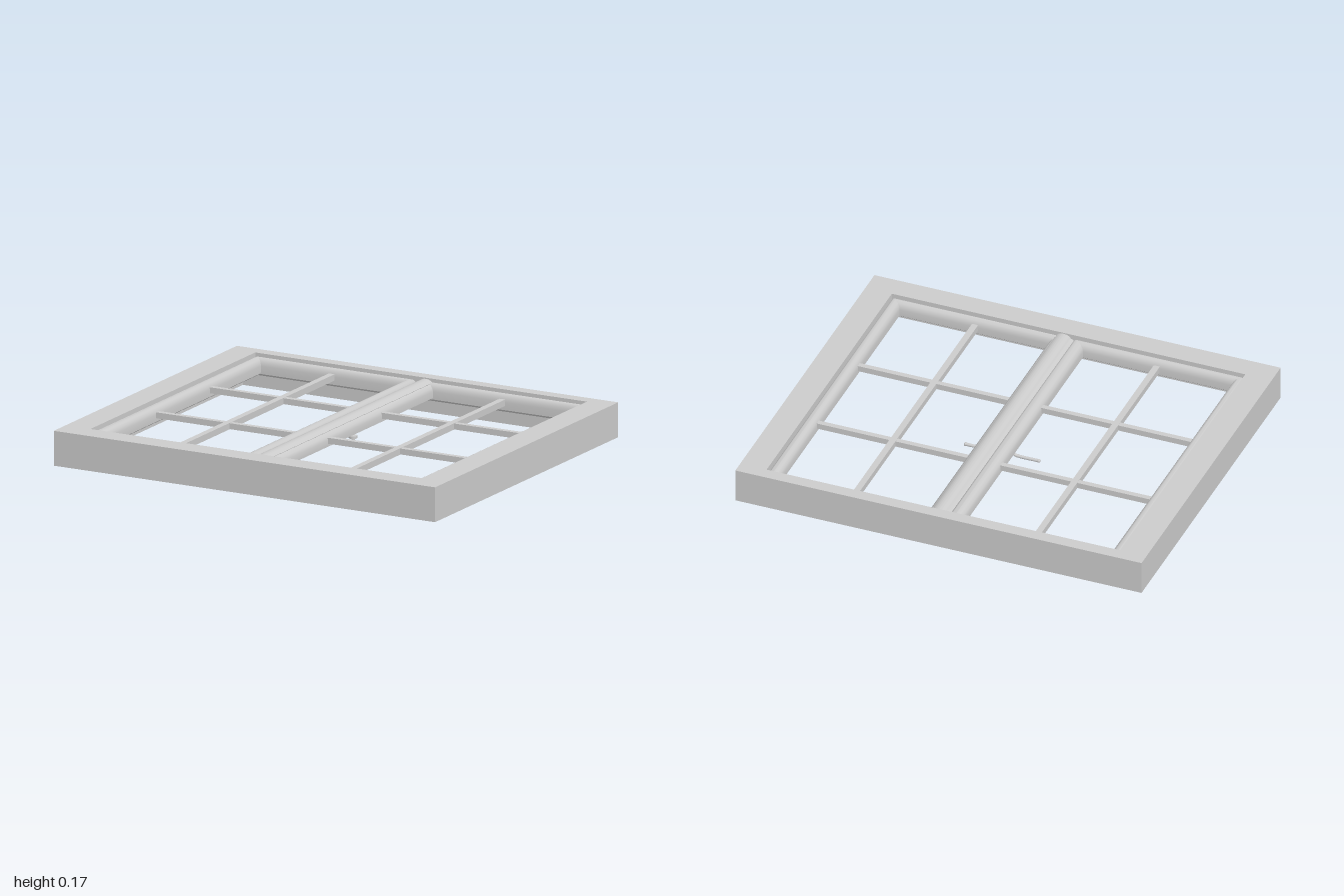
import * as THREE from 'three';
import { toCreasedNormals } from 'three/addons/utils/BufferGeometryUtils.js';

const material = new THREE.MeshStandardMaterial({ color: 0xcccccc });

function add(parent, geometry, name, x = 0, y = 0, z = 0) {
  const mesh = new THREE.Mesh(geometry, material);
  mesh.name = name;
  mesh.position.set(x, y, z);
  parent.add(mesh);
  return mesh;
}

// Mitred rectangular ring: each section is [left, right, back, front, y];
// sections run up the outside, over the top and down the inside.
function ring(sections) {
  const loops = sections.map(([l, r, b, f, y]) => [[l, y, f], [r, y, f], [r, y, b], [l, y, b]]);
  const pos = [];
  loops.forEach((lo, i) => {
    const hi = loops[(i + 1) % loops.length];
    for (let k = 0; k < 4; k++) {
      const n = (k + 1) % 4;
      pos.push(...lo[k], ...lo[n], ...hi[n], ...lo[k], ...hi[n], ...hi[k]);
    }
  });
  const g = new THREE.BufferGeometry();
  g.setAttribute('position', new THREE.Float32BufferAttribute(pos, 3));
  return toCreasedNormals(g, 0.7);
}

// Moulded sash section: [share of the width, y]
const sashProfile = [
  [0, 0.065], [0, 0.13], [0.08, 0.143], [0.25, 0.15], [0.5, 0.15], [0.75, 0.143],
  [0.93, 0.13], [1, 0.115], [1, 0.085], [0.75, 0.085], [0.75, 0.075], [0.45, 0.065],
];

function makeSash(name, outer, inner, barX) {
  const sash = new THREE.Group();
  sash.name = name;
  add(sash, ring(sashProfile.map(([t, y]) =>
    [...outer.map((v, i) => v + (inner[i] - v) * t), y])), name + 'Frame');

  // Glazing bars: one lengthwise, two across
  const [l, r, b, f] = inner;
  add(sash, new THREE.BoxGeometry(0.03, 0.03, f - b + 0.01), 'longGlazingBar', barX, 0.113, (b + f) / 2);
  for (const z of [-0.295, 0.205]) {
    add(sash, new THREE.BoxGeometry(r - l + 0.01, 0.028, 0.026), 'crossGlazingBar', (l + r) / 2, 0.113, z);
  }
  return sash;
}

// Lever handle under the meeting stile; side is +1 or -1
function makeHandle(side) {
  const handle = new THREE.Group();
  handle.name = side > 0 ? 'leftHandle' : 'rightHandle';
  const z = -0.07;
  add(handle, new THREE.CylinderGeometry(0.02, 0.02, 0.012, 20), 'rosette', side * 0.05, 0.06, z);
  const points = [[0.05, 0.06], [0.052, 0.04], [0.065, 0.028], [0.09, 0.025], [0.18, 0.025]];
  const path = new THREE.CatmullRomCurve3(points.map(([x, y]) => new THREE.Vector3(side * x, y, z)));
  add(handle, new THREE.TubeGeometry(path, 24, 0.008, 10), 'lever');
  add(handle, new THREE.SphereGeometry(0.009, 12, 8), 'leverTip', side * 0.18, 0.025, z);
  return handle;
}

export function createModel() {
  const model = new THREE.Group();
  model.name = 'casementWindow';

  // Outer frame with a wide recess underneath
  add(model, ring([
    [-1, 1, -0.85, 0.85, 0],
    [-1, 1, -0.85, 0.85, 0.165],
    [-0.87, 0.87, -0.79, 0.74, 0.165],
    [-0.87, 0.87, -0.79, 0.74, 0.08],
    [-0.94, 0.94, -0.8, 0.8, 0.08],
    [-0.94, 0.94, -0.8, 0.8, 0],
  ]), 'outerFrame');

  // Two opening sashes
  model.add(makeSash('rightSash', [-0.868, -0.025, -0.79, 0.74], [-0.82, -0.088, -0.755, 0.7], -0.45));
  model.add(makeSash('leftSash', [0.005, 0.868, -0.79, 0.74], [0.082, 0.815, -0.755, 0.7], 0.445));

  // Moulded cover strip over the joint between the sashes
  const strip = new THREE.Shape();
  strip.moveTo(-0.028, 0.068);
  strip.lineTo(0.03, 0.068);
  strip.lineTo(0.06, 0.146);
  strip.quadraticCurveTo(0.045, 0.16, 0.025, 0.16);
  strip.quadraticCurveTo(0, 0.16, -0.012, 0.142);
  strip.lineTo(-0.028, 0.136);
  const stripGeometry = new THREE.ExtrudeGeometry(strip, { depth: 1.53, bevelEnabled: false, curveSegments: 8 });
  add(model, toCreasedNormals(stripGeometry, 0.6), 'meetingStrip', 0, 0, -0.79);

  // Rounded strip on the underside of the joint
  const bead = new THREE.CylinderGeometry(0.022, 0.022, 1.53, 16).rotateX(Math.PI / 2);
  add(model, bead, 'lowerBead', -0.008, 0.072, -0.025);

  model.add(makeHandle(1), makeHandle(-1));
  return model;
}
